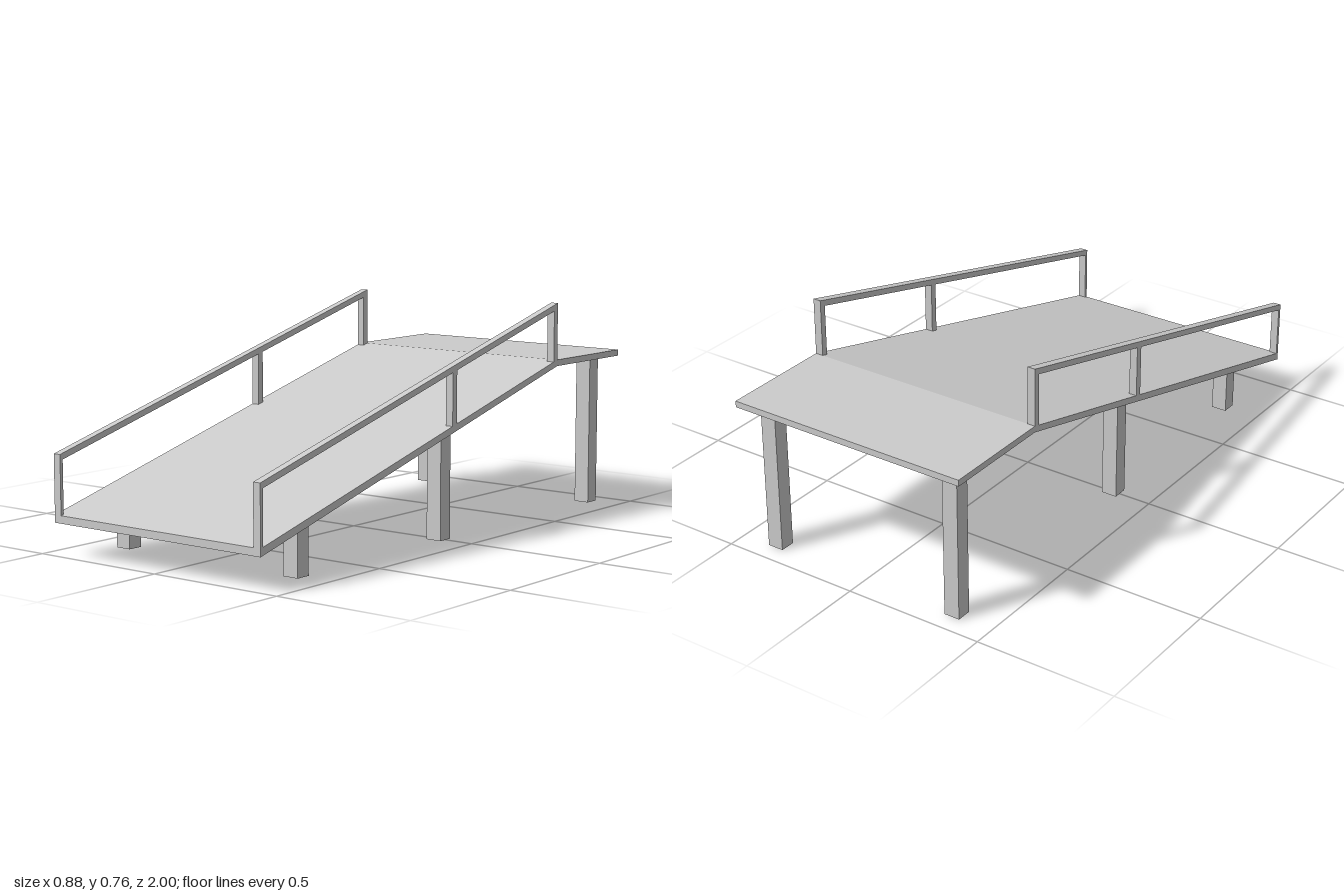
import * as THREE from 'three';

const material = new THREE.MeshStandardMaterial({ color: 0xcccccc, flatShading: true });

// Heights of the sloping deck surface and of the handrail top at depth z
const BEND = -0.597;
const slopeTop = z => 0.136 + (1 - z) * 0.2624;
const railTop = z => slopeTop(z) + 0.2;

// Extrudes a side profile of [z, y] points across x, from x0 to x1
function sidePanel(name, points, x0, x1) {
  const shape = new THREE.Shape(points.map(([z, y]) => new THREE.Vector2(-z, y)));
  const geometry = new THREE.ExtrudeGeometry(shape, { depth: x1 - x0, bevelEnabled: false });
  geometry.rotateY(Math.PI / 2).translate(x0, 0, 0);
  const mesh = new THREE.Mesh(geometry, material);
  mesh.name = name;
  return mesh;
}

export function createModel() {
  const model = new THREE.Group();
  model.name = 'ramp';

  // Sloping deck with a level landing at the back
  model.add(sidePanel('deck', [
    [1, 0.11], [1, 0.136], [BEND, 0.555], [-1, 0.555], [-1, 0.533], [BEND, 0.533],
  ], -0.438, 0.438));

  // Handrails: a sloping bar on three upright posts
  const posts = [[1, 0.988], [0.026, 0.002], [-0.575, BEND]];
  const railOutline = [[1, railTop(1)], [BEND, railTop(BEND)]];
  for (const [front, back] of [...posts].reverse()) {
    if (back !== BEND) railOutline.push([back, railTop(back) - 0.021]);
    railOutline.push([back, slopeTop(back) - 0.003], [front, slopeTop(front) - 0.003]);
    if (front !== 1) railOutline.push([front, railTop(front) - 0.021]);
  }
  model.add(sidePanel('leftHandrail', railOutline, 0.41, 0.438));
  model.add(sidePanel('rightHandrail', railOutline, -0.438, -0.41));

  // Three pairs of square legs, cut to meet the underside of the deck
  const legs = [['front', 0.747], ['middle', 0.003], ['back', -0.907]];
  for (const [place, z] of legs) {
    const top = d => Math.min(0.54, slopeTop(z + d) - 0.016);
    const outline = [[z + 0.027, 0], [z + 0.027, top(0.027)], [z - 0.027, top(-0.027)], [z - 0.027, 0]];
    model.add(sidePanel(place + 'LeftLeg', outline, 0.336, 0.393));
    model.add(sidePanel(place + 'RightLeg', outline, -0.382, -0.326));
  }
  return model;
}
